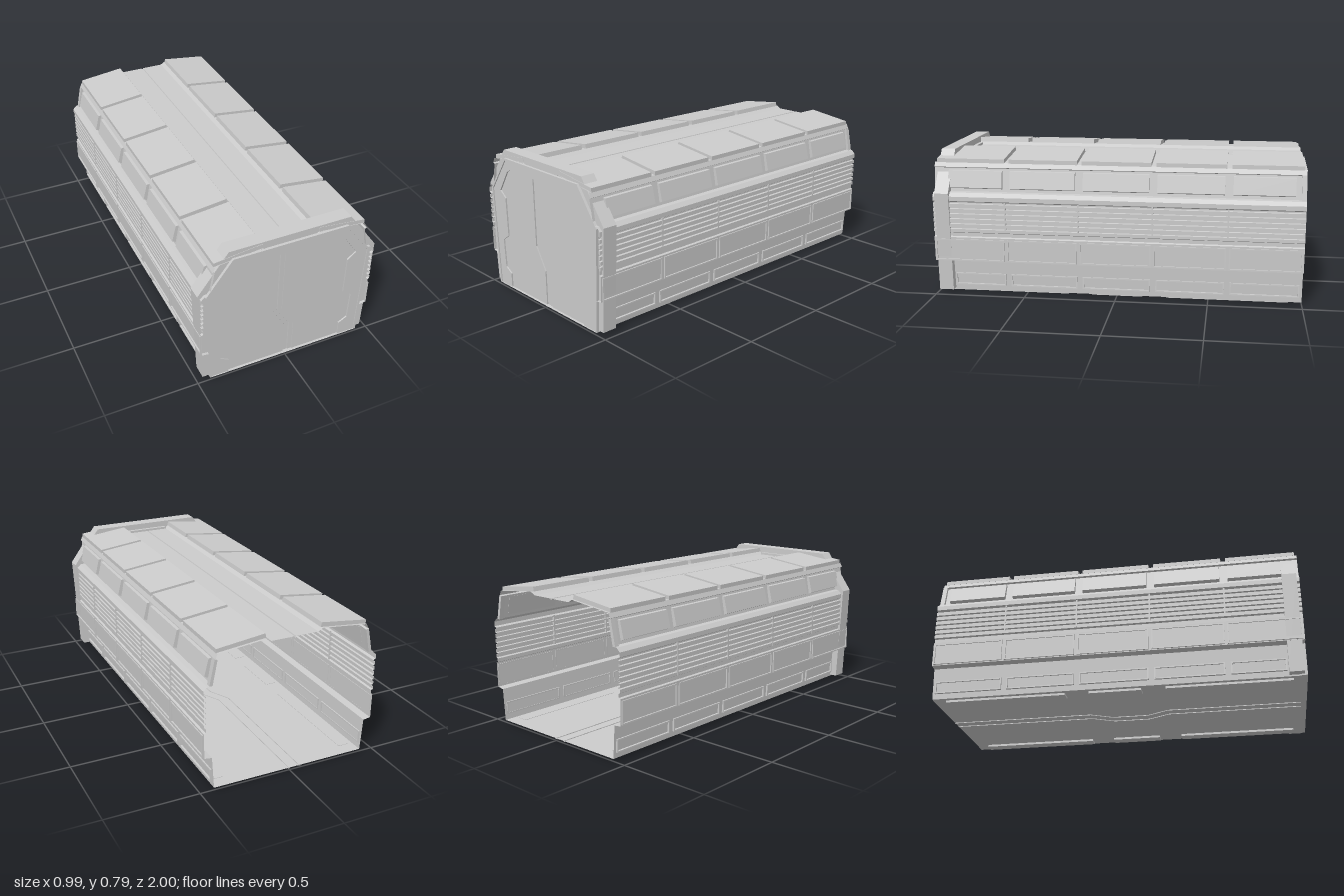
import * as THREE from 'three';

const mat = new THREE.MeshStandardMaterial({ color: 0xcccccc, flatShading: true, side: THREE.DoubleSide });
const BAYS = [-0.8, -0.4, 0, 0.4, 0.8];

function add(parent, name, geo) {
  const m = new THREE.Mesh(geo, mat);
  m.name = name;
  parent.add(m);
  return m;
}

// Polygon in x/y, extruded between two z positions
function prism(pts, z0, z1) {
  const shape = new THREE.Shape(pts.map(p => new THREE.Vector2(p[0], p[1])));
  const g = new THREE.ExtrudeGeometry(shape, { depth: z1 - z0, bevelEnabled: false });
  return g.translate(0, 0, z0);
}

const flip = pts => pts.map(([x, y]) => [-x, y]);
// Closes a right-hand half outline (bottom to top) into a full arch outline
const mirrored = half => [...half, ...flip(half).reverse()];
// Arch-shaped ring between two half outlines, open at the bottom
const arch = (outer, inner, z0, z1) =>
  prism([...mirrored(outer), ...mirrored(inner).reverse()], z0, z1);

// Thin open sheet following a profile, running the whole length
function sheet(pts, z0, z1) {
  const v = [];
  for (let i = 0; i < pts.length - 1; i++) {
    const [a, b] = pts[i], [c, d] = pts[i + 1];
    v.push(a, b, z0, a, b, z1, c, d, z1, a, b, z0, c, d, z1, c, d, z0);
  }
  const g = new THREE.BufferGeometry();
  g.setAttribute('position', new THREE.Float32BufferAttribute(v, 3));
  g.computeVertexNormals();
  return g;
}

// Rectangular border made of four bars, standing on a side wall
function border(parent, name, s, x, y0, y1, z0, z1, t, depth) {
  const grp = new THREE.Group();
  grp.name = name;
  const bar = (ya, yb, za, zb) => add(grp, 'bar',
    new THREE.BoxGeometry(depth, yb - ya, zb - za).translate(s * x, (ya + yb) / 2, (za + zb) / 2));
  bar(y0, y0 + t, z0, z1);
  bar(y1 - t, y1, z0, z1);
  bar(y0 + t, y1 - t, z0, z0 + t);
  bar(y0 + t, y1 - t, z1 - t, z1);
  parent.add(grp);
}

function buildSide(s) {
  const side = new THREE.Group();
  side.name = s > 0 ? 'leftSide' : 'rightSide';
  const pts = p => (s > 0 ? p : flip(p));

  // Wall profile with louvre teeth between waist band and shoulder
  const wall = [[0.425, 0.012], [0.437, 0.185], [0.477, 0.19], [0.48, 0.325], [0.47, 0.33], [0.47, 0.35]];
  for (let i = 0; i < 6; i++) {
    const y = 0.355 + i * 0.028;
    wall.push([0.48, y], [0.48, y + 0.017], [0.469, y + 0.019], [0.469, y + 0.026]);
  }
  wall.push([0.482, 0.528], [0.482, 0.552], [0.462, 0.572], [0.435, 0.575], [0.412, 0.70], [0.422, 0.705], [0.41, 0.73]);
  add(side, 'wallSheet', sheet(pts(wall), -1, 1));

  // Roof sheet stepping down to the central channel
  add(side, 'roofSheet', sheet(pts([[0.41, 0.73], [0.155, 0.757], [0.13, 0.742], [0.006, 0.742], [0.004, 0.736], [0, 0.736]]), -1, 0.99));

  for (const z of BAYS) {
    add(side, 'roofPanel', prism(pts([[0.412, 0.728], [0.412, 0.75], [0.155, 0.781], [0.15, 0.757]]), z - 0.187, z + 0.187));
    const w0 = Math.max(z - 0.178, -0.945), w1 = Math.min(z + 0.178, 0.92);
    add(side, 'upperBlock', prism(pts([[0.432, 0.59], [0.452, 0.598], [0.43, 0.688], [0.412, 0.69]]), w0, w1));
    border(side, 'waistPanel', s, 0.481, 0.195, 0.315, z - 0.192, z + 0.192, 0.007, 0.008);
    border(side, 'lowerPanel', s, 0.432, 0.042, 0.11, z - 0.185, Math.min(z + 0.185, 0.9), 0.007, 0.014);
    if (z < 0.8) {
      add(side, 'louvreDivider', new THREE.BoxGeometry(0.012, 0.17, 0.008).translate(s * 0.475, 0.44, z + 0.2));
    }
  }
  // End rib closing the upper recess
  add(side, 'endRib', prism(pts([[0.435, 0.572], [0.452, 0.572], [0.425, 0.705], [0.41, 0.70]]), -1, -0.975));

  // Floor skids
  for (const [z0, z1] of [[0.27, 0.93], [-0.14, 0.14], [-0.93, -0.27]]) {
    add(side, 'skid', new THREE.BoxGeometry(0.06, 0.014, z1 - z0).translate(s * 0.372, 0.007, (z0 + z1) / 2));
  }
  return side;
}

function buildFront() {
  const front = new THREE.Group();
  front.name = 'frontEnd';

  // Heavy arch wrapped around the body
  add(front, 'outerArch', arch(
    [[0.468, 0.02], [0.495, 0.57], [0.333, 0.79]],
    [[0.425, 0.02], [0.452, 0.56], [0.31, 0.742]], 0.908, 0.985));

  // Bulkhead with a slim raised rim
  const rim = [[0.432, 0.012], [0.456, 0.56], [0.315, 0.75]];
  const rimIn = [[0.42, 0.012], [0.444, 0.557], [0.31, 0.738]];
  const opening = [[0.325, 0.012], [0.325, 0.09], [0.372, 0.117], [0.38, 0.275], [0.33, 0.308],
    [0.335, 0.522], [0.38, 0.558], [0.305, 0.672], [0.278, 0.69]];
  add(front, 'rim', arch(rim, rimIn, 0.97, 1));
  add(front, 'bulkhead', arch(rimIn, opening, 0.97, 0.994));

  // Sliding doors meeting at a kinked seam
  add(front, 'doorBacking', prism(mirrored(opening), 0.965, 0.974));
  const seam = dx => [[-0.053 + dx, 0.69], [-0.053 + dx, 0.32], [0.02 + dx, 0.2], [0.02 + dx, 0.012]];
  add(front, 'rightDoor', prism([...flip(opening), ...seam(-0.025)], 0.974, 0.986));
  add(front, 'leftDoor', prism([...opening, ...seam(0.026)], 0.974, 0.986));
  add(front, 'seamStripWide', prism([...seam(0.002), ...seam(0.026).reverse()], 0.974, 0.982));
  add(front, 'seamStripNarrow', prism([...seam(-0.025), ...seam(-0.002).reverse()], 0.974, 0.979));

  // Roof channel stop behind the arch
  add(front, 'channelStop', new THREE.BoxGeometry(0.26, 0.014, 0.02).translate(0, 0.748, 0.898));
  return front;
}

function buildFloor() {
  const floor = new THREE.Group();
  floor.name = 'floor';
  add(floor, 'floorSheet', sheet([[-0.425, 0.012], [0.425, 0.012]], -1, 1));
  // Kinked double seam along the floor
  for (const dx of [-0.03, 0.03]) {
    const path = [[-0.03, -1], [-0.03, -0.2], [0.03, -0.08], [0.03, 0.12], [-0.03, 0.24], [-0.03, 0.97]];
    const edge = w => path.map(([x, z]) => [x + dx + w, -z]);
    const g = prism([...edge(-0.005), ...edge(0.005).reverse()], 0, 0.008);
    add(floor, 'floorSeam', g.rotateX(-Math.PI / 2).translate(0, 0.008, 0));
  }
  return floor;
}

export function createModel() {
  const model = new THREE.Group();
  model.name = 'cargoModule';
  model.add(buildSide(1), buildSide(-1), buildFront(), buildFloor());
  return model;
}
